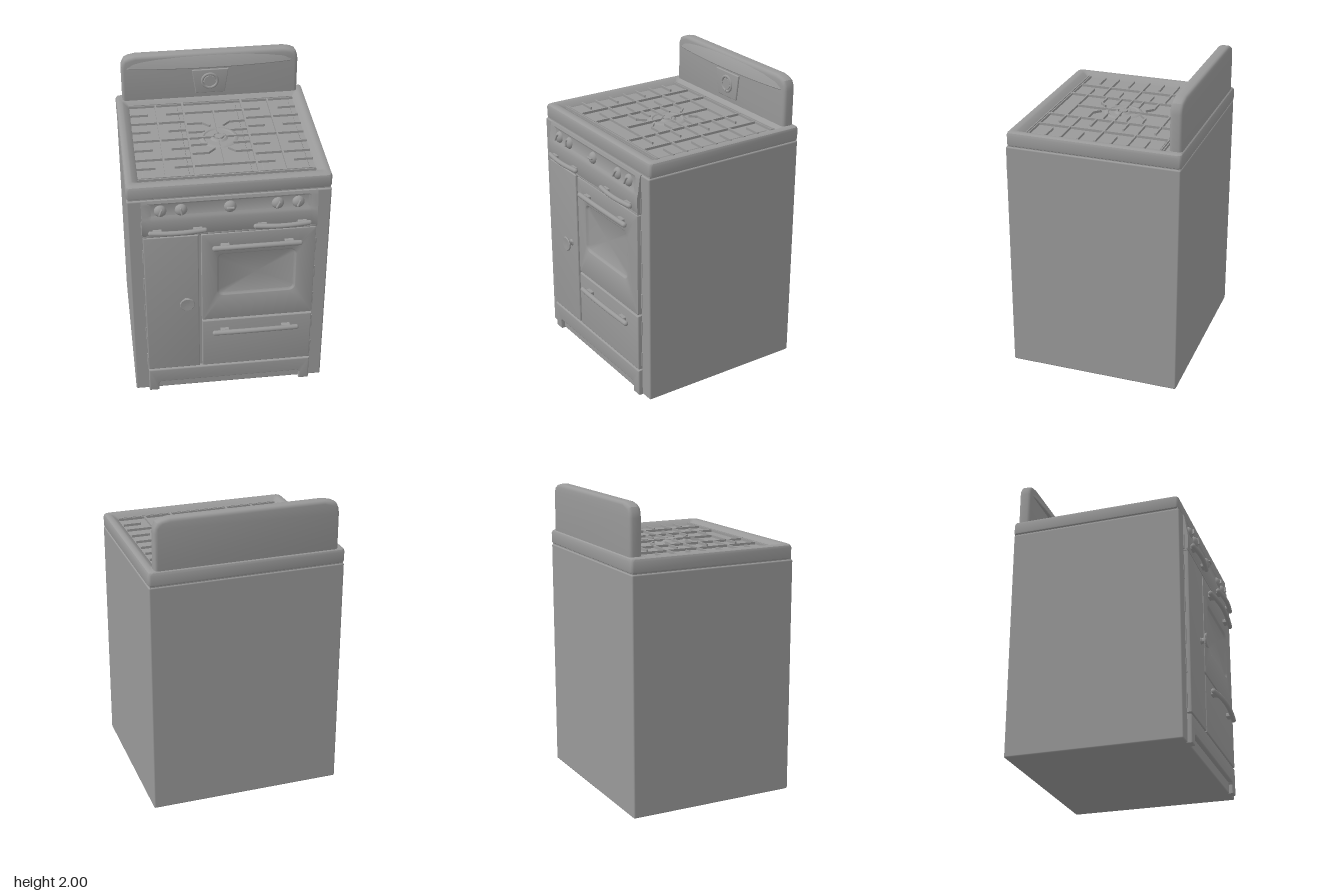
import * as THREE from 'three';
import { toCreasedNormals } from 'three/addons/utils/BufferGeometryUtils.js';
import { RoundedBoxGeometry } from 'three/addons/geometries/RoundedBoxGeometry.js';

const mat = new THREE.MeshStandardMaterial({ color: 0x999999 });
const V = (x, y, z) => new THREE.Vector3(x, y, z);

function add(parent, name, geo, x = 0, y = 0, z = 0) {
  const m = new THREE.Mesh(geo, mat);
  m.name = name;
  m.position.set(x, y, z);
  parent.add(m);
  return m;
}

// Skin a list of closed rings and close both ends with fans
function loft(rings) {
  const pos = [];
  const tri = (...p) => p.forEach(v => pos.push(v.x, v.y, v.z));
  const n = rings[0].length;
  for (let i = 0; i + 1 < rings.length; i++) for (let j = 0; j < n; j++) {
    const k = (j + 1) % n, A = rings[i], B = rings[i + 1];
    tri(A[j], B[j], A[k]);
    tri(A[k], B[j], B[k]);
  }
  const cap = (r, flip) => {
    const c = r.reduce((s, p) => s.add(p), V(0, 0, 0)).divideScalar(n);
    r.forEach((p, j) => {
      const q = r[(j + 1) % n];
      flip ? tri(c, p, q) : tri(c, q, p);
    });
  };
  cap(rings[0], true);
  cap(rings[rings.length - 1], false);
  const g = new THREE.BufferGeometry();
  g.setAttribute('position', new THREE.Float32BufferAttribute(pos, 3));
  return toCreasedNormals(g, 0.6);
}

// Horizontal rounded rectangle at height y
function ring(x0, x1, z0, z1, y, r) {
  const pts = [];
  [[1, 1], [0, 1], [0, 0], [1, 0]].forEach(([sx, sz], q) => {
    for (let i = 0; i <= 5; i++) {
      const a = (q + i / 5) * Math.PI / 2;
      pts.push(V((sx ? x1 - r : x0 + r) + r * Math.cos(a), y, (sz ? z1 - r : z0 + r) + r * Math.sin(a)));
    }
  });
  return pts;
}

function poly(points) {
  return new THREE.Shape(points.map(([x, y]) => new THREE.Vector2(x, y)));
}

// Bevelled plate between z0 and z1
function plate(shape, z0, z1, bevel) {
  const g = new THREE.ExtrudeGeometry(shape, {
    depth: z1 - z0 - 2 * bevel, bevelThickness: bevel, bevelSize: bevel, bevelOffset: -bevel, bevelSegments: 3,
  });
  g.translate(0, 0, z0 + bevel);
  return toCreasedNormals(g, 0.6);
}

function lathe(profile) {
  return toCreasedNormals(new THREE.LatheGeometry(profile.map(([r, y]) => new THREE.Vector2(r, y)), 40), 0.6);
}

// Bowed pull handle with rounded ends and two posts
function handle(parent, name, x0, x1, y, lift, zEnd, zMid, r) {
  const g = new THREE.Group();
  g.name = name;
  parent.add(g);
  const pts = [];
  for (let i = 0; i <= 8; i++) {
    const t = i / 8, b = Math.sin(Math.PI * t);
    pts.push(V(x0 + r + (x1 - x0 - 2 * r) * t, y + lift * b, zEnd + (zMid - zEnd) * b));
  }
  add(g, 'handleBar', new THREE.TubeGeometry(new THREE.CatmullRomCurve3(pts), 32, r, 10));
  [0, 8].forEach(i => add(g, 'handleEnd', new THREE.SphereGeometry(r, 10, 8), ...pts[i].toArray()));
  [1, 7].forEach(i => add(g, 'handlePost', new RoundedBoxGeometry(0.06, r * 1.6, 0.05, 2, 0.006), pts[i].x, pts[i].y, 0.57));
}

function addCooktop(stove) {
  // Rim with sunken floor: half width, back, front, height, corner radius
  add(stove, 'cooktop', loft([
    [0.636, -0.616, 0.516, 1.578, 0.02], [0.643, -0.623, 0.523, 1.583, 0.025], [0.645, -0.625, 0.525, 1.592, 0.025],
    [0.645, -0.625, 0.525, 1.652, 0.025], [0.64, -0.62, 0.52, 1.666, 0.025], [0.628, -0.61, 0.508, 1.673, 0.025],
    [0.605, -0.535, 0.475, 1.673, 0.02], [0.595, -0.525, 0.465, 1.668, 0.02], [0.565, -0.497, 0.428, 1.645, 0.01],
    [0.56, -0.49, 0.422, 1.638, 0.006],
  ].map(([hx, ...rest]) => ring(-hx, hx, ...rest))));

  const grates = new THREE.Group();
  grates.name = 'grates';
  stove.add(grates);
  const bar = (x0, z0, x1, z1, w = 0.011) => {
    const len = Math.hypot(x1 - x0, z1 - z0);
    const m = add(grates, 'grateBar', new THREE.BoxGeometry(len, 0.016, w), (x0 + x1) / 2, 1.65, (z0 + z1) / 2);
    m.rotation.y = -Math.atan2(z1 - z0, x1 - x0);
  };
  // Front and back rails
  for (const z of [-0.485, -0.469, 0.403, 0.418]) bar(-0.56, z, 0.56, z, 0.007);
  for (const s of [-1, 1]) {
    // Side grates
    bar(s * 0.2, -0.49, s * 0.2, 0.42, 0.013);
    bar(s * 0.383, -0.465, s * 0.383, 0.4);
    for (const z of [-0.25, -0.035, 0.19]) bar(s * 0.2, z, s * 0.56, z);
    for (const z of [-0.358, -0.143, 0.077, 0.29]) {
      bar(s * 0.2, z, s * 0.32, z);
      bar(s * 0.44, z, s * 0.56, z);
    }
    // Centre fingers
    bar(s * 0.03, -0.035, s * 0.195, -0.035);
    for (const z of [-0.11, 0.045]) bar(s * 0.085, z, s * 0.195, z);
    for (const d of [-1, 1]) {
      const z = -0.035 + d * 0.183;
      bar(s * 0.195, z, s * 0.088, z);
      bar(s * 0.09, z, s * 0.044, z - d * 0.044);
    }
  }
  for (const z of [-0.358, 0.29]) bar(-0.2, z, 0.2, z);
  bar(0, -0.36, 0, -0.07);
  bar(0, 0, 0, 0.29);

  // Drip trays
  for (const [cx, hw] of [[-0.38, 0.148], [0, 0.163], [0.38, 0.148]])
    add(stove, 'dripTray', loft([
      ring(cx - hw, cx + hw, -0.455, 0.39, 1.636, 0.006), ring(cx - hw + 0.004, cx + hw - 0.004, -0.451, 0.386, 1.642, 0.004)]));

  // Centre burner
  add(stove, 'burner', lathe([[0.128, 0], [0.118, 0.007], [0.104, 0.008], [0.096, 0.002], [0.06, 0.002], [0.046, 0.012],
    [0.037, 0.012], [0.034, 0.004], [0.03, 0.004], [0.028, 0.016], [0, 0.017]]), 0, 1.641, -0.035);
}

function addBacksplash(stove) {
  const half = [[0.6, 1.64], [0.6, 1.91], [0.595, 1.945], [0.58, 1.975], [0.55, 1.99], [0.5, 2]];
  const outline = half.concat(half.map(([x, y]) => [-x, y]).reverse());
  add(stove, 'backsplash', plate(poly(outline), -0.612, -0.53, 0.022));

  // Bowed hood along the top
  const side = [[0.125, 1.998], [0.25, 1.998], [0.375, 1.998], [0.5, 1.994], [0.55, 1.984], [0.58, 1.967], [0.596, 1.93]];
  const stations = [...side.map(([x, t]) => [-x, t]).reverse(), [0, 1.998], ...side];
  add(stove, 'backsplashHood', loft(stations.map(([x, top]) => {
    const b = (x / 0.6) ** 2, zf = -0.5 - 0.026 * b - 0.018 * b ** 8, y = 1.903 + 0.008 * b, h = top - y;
    return [[-0.57, y], [zf - 0.003, y], [zf, y + 0.06 * h], [zf - 0.004, y + 0.2 * h], [-0.528 - 0.015 * b, y + 0.8 * h],
      [-0.54 - 0.01 * b, y + 0.95 * h], [-0.555, top], [-0.585, top]].map(([z, v]) => V(x, v, z));
  })));

  // Clock on its tapered plate
  add(stove, 'clockPlate', plate(poly([[-0.1, 1.703], [0.1, 1.703], [0.125, 1.88], [-0.125, 1.88]]), -0.54, -0.52, 0.006));
  const clock = new THREE.Group();
  clock.name = 'clock';
  clock.position.set(-0.003, 1.795, -0.521);
  stove.add(clock);
  add(clock, 'clockRing', new THREE.TorusGeometry(0.052, 0.01, 10, 40));
  add(clock, 'clockFace', lathe([[0.041, 0], [0.038, 0.006], [0, 0.006]]).rotateX(Math.PI / 2));
  for (let i = 0; i < 4; i++) {
    const a = i * Math.PI / 2;
    add(clock, 'clockMark', new THREE.BoxGeometry(0.016, 0.005, 0.014), 0.047 * Math.cos(a), 0.047 * Math.sin(a), 0.004).rotation.z = a;
  }
}

function addControls(stove) {
  // Panel leaning back at the top, with a shallow sunken band for the knobs
  const section = (x, d) => [[0.5, 1.318], [0.556, 1.318], [0.56, 1.325], [0.56, 1.43], [0.555, 1.45], [0.552 - d, 1.465],
    [0.542 - d, 1.54], [0.54, 1.553], [0.534, 1.572], [0.5, 1.572]].map(([z, y]) => V(x, y, z));
  add(stove, 'controlPanel', loft([[-0.555, 0], [-0.515, 0], [-0.495, 0.008], [0.495, 0.008], [0.515, 0], [0.555, 0]]
    .map(a => section(...a))));
  for (const [x, turn] of [[-0.437, -0.4], [-0.307, 0.1], [0, Math.PI / 2], [0.3, -0.5], [0.43, -0.4]]) {
    const knob = new THREE.Group();
    knob.name = 'controlKnob';
    knob.position.set(x, 1.497, 0.535);
    knob.rotation.x = -0.12;
    stove.add(knob);
    add(knob, 'knobDome', new THREE.SphereGeometry(0.04, 28, 16)).scale.z = 0.75;
    add(knob, 'knobGrip', new RoundedBoxGeometry(0.012, 0.05, 0.026, 2, 0.005), 0, 0, 0.027).rotation.z = turn;
  }
  handle(stove, 'leftGrillHandle', 0.143, 0.515, 1.358, 0, 0.58, 0.595, 0.016);
  handle(stove, 'rightGrillHandle', -0.52, -0.147, 1.358, 0, 0.58, 0.595, 0.016);
}

function addDoors(stove) {
  const panel = (name, x0, x1, y0, y1) => add(stove, name, plate(poly([[x0, y0], [x1, y0], [x1, y1], [x0, y1]]), 0.51, 0.56, 0.007));
  panel('trimRail', -0.553, 0.553, 1.308, 1.325);
  panel('cupboardDoor', -0.553, -0.203, 0.196, 1.305);
  panel('drawerFront', -0.185, 0.55, 0.196, 0.59);

  // Oven door with softly sunken window, lofted flat and then stood upright
  const outer = (d, z) => ring(-0.185 + d, 0.55 - d, -1.305 + d, -0.602 - d, z, 0.01);
  const inner = (d, z) => ring(-0.087 + d, 0.432 - d, -1.147 + d, -0.8 - d, z, 0.045 - d);
  add(stove, 'ovenDoor', loft([outer(0, 0.51), outer(0, 0.553), outer(0.002, 0.558), outer(0.007, 0.56),
    inner(0, 0.56), inner(0.004, 0.558), inner(0.012, 0.547), inner(0.017, 0.545)]).rotateX(Math.PI / 2));
  handle(stove, 'ovenHandle', -0.12, 0.462, 1.21, 0.014, 0.588, 0.606, 0.017);
  handle(stove, 'drawerHandle', -0.12, 0.462, 0.503, 0.014, 0.588, 0.606, 0.017);

  // Flared cupboard pull
  add(stove, 'cupboardPull', lathe([[0.024, 0], [0.018, 0.012], [0.02, 0.025], [0.046, 0.036], [0.05, 0.043], [0.045, 0.049],
    [0.02, 0.047], [0, 0.046]]).rotateX(Math.PI / 2), -0.285, 0.78, 0.558);

  // Kick panel with two short feet
  add(stove, 'kickPanel', plate(poly([[-0.553, 0], [-0.485, 0], [-0.485, 0.06], [-0.472, 0.074], [0.472, 0.074],
    [0.485, 0.06], [0.485, 0], [0.553, 0], [0.553, 0.185], [-0.553, 0.185]]), 0.5, 0.56, 0.009));

  // Hinge knuckles down both sides
  for (const s of [-1, 1]) for (const y of [0.27, 0.5, 0.7, 0.92, 1.15, 1.37])
    add(stove, 'hinge', new THREE.CylinderGeometry(0.006, 0.006, 0.1, 10), s * 0.555, y, 0.531);
}

export function createModel() {
  const stove = new THREE.Group();
  stove.name = 'stove';
  add(stove, 'body', new RoundedBoxGeometry(1.284, 1.572, 1.15, 3, 0.01), 0, 0.786, -0.045);
  add(stove, 'bodyNeck', new THREE.BoxGeometry(1.268, 0.03, 1.134), 0, 1.572, -0.048);
  addCooktop(stove);
  addBacksplash(stove);
  addControls(stove);
  addDoors(stove);
  return stove;
}
